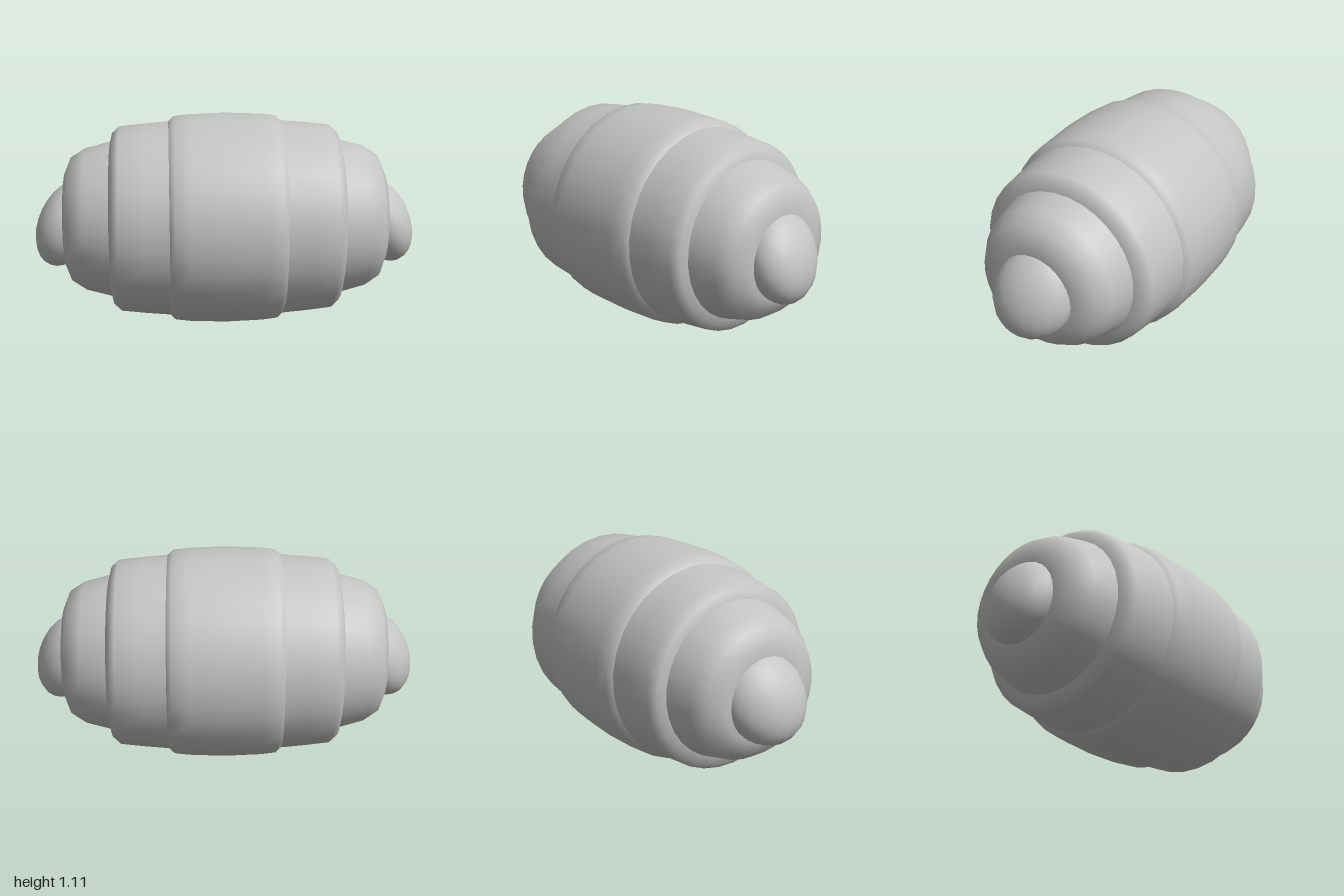
import * as THREE from 'three';

const CENTRE_Y = 0.556;

// Smooth ring of revolution about the x axis; profile is [x, radius] pairs
function ring(profile) {
  const points = profile.map(([x, r]) => new THREE.Vector2(r, x));
  return new THREE.LatheGeometry(points, 32, Math.PI / 32).rotateZ(-Math.PI / 2);
}

export function createModel() {
  const group = new THREE.Group();
  const grey = new THREE.MeshStandardMaterial({ color: 0xc4c4c4 });
  grey.name = 'plain grey';

  function add(name, geometry) {
    const mesh = new THREE.Mesh(geometry, grey);
    mesh.name = name;
    mesh.position.y = CENTRE_Y;
    group.add(mesh);
    return mesh;
  }

  // Widest roll in the middle
  add('middleRoll', ring([
    [-0.3, 0.505], [-0.295, 0.513], [-0.267, 0.54], [-0.19, 0.549], [0, 0.556],
    [0.19, 0.549], [0.267, 0.54], [0.295, 0.513], [0.3, 0.505],
  ]));

  // Stepped rolls and a rounded tip towards each end
  for (const side of [1, -1]) {
    const label = side > 0 ? 'left' : 'right';
    const turn = side > 0 ? 0 : Math.PI;

    add(label + 'OuterRoll', ring([
      [0.28, 0.515], [0.42, 0.503], [0.55, 0.489], [0.588, 0.455], [0.6, 0.405],
    ])).rotation.y = turn;

    add(label + 'EndRoll', ring([
      [0.58, 0.414], [0.6, 0.41], [0.733, 0.375], [0.807, 0.327], [0.84, 0.246],
      [0.842, 0.18], [0.842, 0],
    ])).rotation.y = turn;

    // Tip: a sphere squashed along x and sheared so that it droops slightly
    const tip = new THREE.SphereGeometry(1, 20, 14);
    tip.applyMatrix4(new THREE.Matrix4().set(
      0.17, 0, 0, side * 0.83,
      -0.07 * side, 0.215, 0, -0.02,
      0.03 * side, 0, 0.212, 0,
      0, 0, 0, 1,
    ));
    add(label + 'Tip', tip);
  }

  return group;
}
